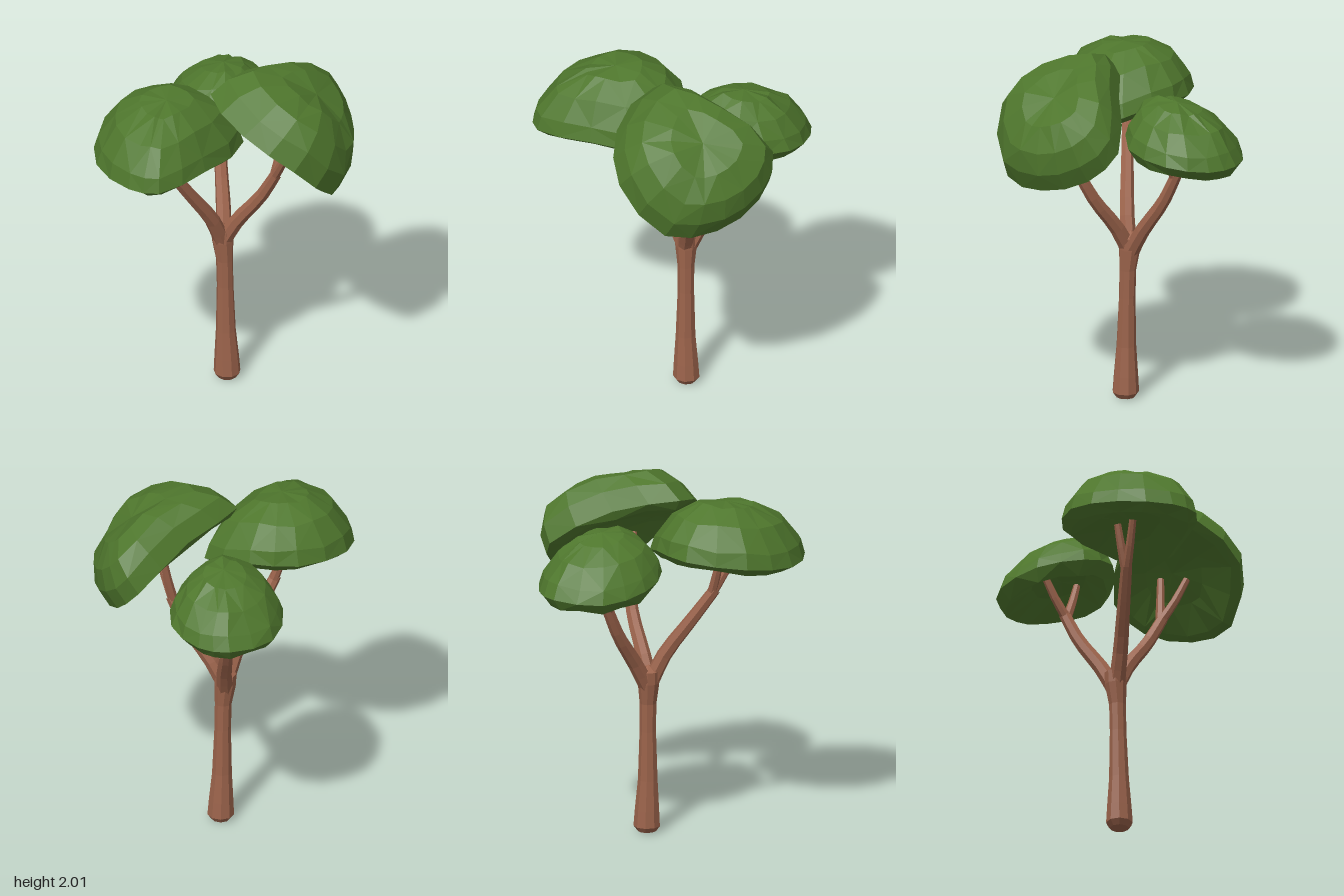
import * as THREE from 'three';

const V = (p) => new THREE.Vector3(...p);

function seeded(seed) {
  return () => {
    seed = (seed * 16807) % 2147483647;
    return seed / 2147483647 - 0.5;
  };
}

// Skin over a stack of rings (bottom to top, counter-clockwise from above), closed by two end points
function loft(rings, bottom, top) {
  const n = rings[0].length;
  const pos = [];
  const tri = (...pts) => pts.forEach((p) => pos.push(p.x, p.y, p.z));
  const last = rings[rings.length - 1];
  for (let i = 0; i < n; i++) {
    const j = (i + 1) % n;
    tri(bottom, rings[0][j], rings[0][i]);
    for (let k = 0; k + 1 < rings.length; k++) {
      const a = rings[k], b = rings[k + 1];
      if ((i + k) % 2) {
        tri(a[i], a[j], b[j]);
        tri(a[i], b[j], b[i]);
      } else {
        tri(a[i], a[j], b[i]);
        tri(a[j], b[j], b[i]);
      }
    }
    tri(last[i], last[j], top);
  }
  const g = new THREE.BufferGeometry();
  g.setAttribute('position', new THREE.Float32BufferAttribute(pos, 3));
  g.computeVertexNormals();
  return g;
}

// Tapered branch along a curve
function branchGeometry(points, r0, r1, segments) {
  const curve = new THREE.CatmullRomCurve3(points.map(V));
  const sides = 7;
  const g = new THREE.TubeGeometry(curve, segments, 1, sides, false);
  const p = g.attributes.position;
  const v = new THREE.Vector3();
  for (let i = 0; i < p.count; i++) {
    const t = Math.floor(i / (sides + 1)) / segments;
    const c = curve.getPointAt(t);
    v.fromBufferAttribute(p, i).sub(c).multiplyScalar(r0 + (r1 - r0) * t).add(c);
    p.setXYZ(i, v.x, v.y, v.z);
  }
  g.computeVertexNormals();
  return g;
}

// Leaf cushion: domed above its curved rim, rolled under and hollow below
function canopyGeometry({ rim, center, axis, height, lip, profile, seed }) {
  const rnd = seeded(seed);
  const c = V(center), n = V(axis).normalize();
  const edge = new THREE.CatmullRomCurve3(rim.map(V), true).getPoints(rim.length * 2).slice(0, -1);
  const ring = (scale, lift, jitter) => edge.map((p) =>
    p.clone().sub(c).multiplyScalar(scale).add(c)
      .addScaledVector(n, lift)
      .add(new THREE.Vector3(rnd(), rnd(), rnd()).multiplyScalar(jitter)));
  const rings = [
    ring(0.45, 0.02, 0.02),
    ring(0.86, -lip, 0.02),
    ring(1, 0, 0),
    ...profile.map(([scale, lift]) => ring(scale, lift * height, 0.015)),
  ];
  return loft(rings, c.clone().addScaledVector(n, 0.03), c.clone().addScaledVector(n, height));
}

// Profile: [share of the rim, share of the height] for each ring of the dome
const LEFT_CANOPY = {
  center: [-0.32, 1.62, 0.25], axis: [0, 1, 0], height: 0.295, lip: 0.045, seed: 11,
  profile: [[0.94, 0.28], [0.72, 0.7], [0.36, 0.97]],
  rim: [[-0.725, 1.59, 0.32], [-0.6, 1.58, 0.6], [-0.45, 1.58, 0.68], [-0.16, 1.6, 0.53],
    [0.12, 1.57, 0.2], [-0.08, 1.66, -0.06], [-0.34, 1.66, -0.14], [-0.64, 1.63, 0.02]],
};
const RIGHT_CANOPY = {
  center: [0.33, 1.61, 0.24], axis: [0.62, 0.78, 0], height: 0.305, lip: 0.02, seed: 23,
  profile: [[0.95, 0.4], [0.78, 0.76], [0.46, 0.98]],
  rim: [[-0.06, 1.88, 0.18], [0.06, 1.78, 0.5], [0.31, 1.61, 0.65], [0.55, 1.36, 0.51],
    [0.66, 1.355, 0.24], [0.65, 1.45, -0.04], [0.56, 1.61, -0.18], [0.25, 1.81, -0.02]],
};
const BACK_CANOPY = {
  center: [0.11, 1.54, -0.32], axis: [0, 1, 0.06], height: 0.25, lip: 0.07, seed: 37,
  profile: [[0.92, 0.28], [0.7, 0.66], [0.38, 0.93]],
  rim: [[-0.215, 1.52, -0.34], [-0.14, 1.56, -0.09], [0.06, 1.6, 0], [0.33, 1.55, -0.12],
    [0.42, 1.52, -0.4], [0.31, 1.49, -0.61], [0.15, 1.49, -0.69], [-0.11, 1.48, -0.59]],
};

// Each limb: main stem, then two twigs from its end
const LIMBS = [
  {
    name: 'leftBranch',
    stem: [[0.04, 0.84, 0.03], [-0.03, 1.02, 0.08], [-0.165, 1.23, 0.15], [-0.28, 1.41, 0.21]],
    twigs: [[-0.37, 1.64, 0.28], [-0.34, 1.64, 0.18]],
  },
  {
    name: 'rightBranch',
    stem: [[0.03, 0.84, 0.03], [0.11, 1.0, 0.07], [0.23, 1.18, 0.14], [0.305, 1.35, 0.2]],
    twigs: [[0.36, 1.59, 0.32], [0.355, 1.61, 0.17]],
  },
  {
    name: 'backBranch',
    stem: [[0.04, 0.84, 0.02], [0.06, 0.98, -0.06], [0.075, 1.18, -0.2], [0.085, 1.36, -0.29]],
    twigs: [[0.0, 1.56, -0.37], [0.17, 1.56, -0.25]],
  },
];

export function createModel() {
  const group = new THREE.Group();
  const bark = new THREE.MeshStandardMaterial({ color: 0x9b634b, flatShading: true });
  bark.name = 'bark';
  const leaves = new THREE.MeshStandardMaterial({ color: 0x4f772d, flatShading: true });
  leaves.name = 'leaves';
  const add = (name, geometry, material) => {
    const mesh = new THREE.Mesh(geometry, material);
    mesh.name = name;
    group.add(mesh);
  };

  // Trunk, flared at the foot and at the fork: [x, y, z, radius]
  const trunk = [
    [0.06, 0.005, 0.04, 0.052], [0.06, 0.035, 0.04, 0.074], [0.058, 0.13, 0.04, 0.068],
    [0.053, 0.3, 0.04, 0.055], [0.05, 0.58, 0.036, 0.046], [0.047, 0.74, 0.034, 0.047],
    [0.038, 0.86, 0.027, 0.06], [0.035, 0.93, 0.025, 0.06],
  ].map(([x, y, z, r]) => Array.from({ length: 9 }, (_, i) => {
    const a = -(i / 9) * Math.PI * 2;
    return new THREE.Vector3(x + r * Math.cos(a), y, z + r * Math.sin(a));
  }));
  add('trunk', loft(trunk, V([0.06, 0, 0.04]), V([0.035, 0.965, 0.02])), bark);

  // Branches and twigs
  for (const { name, stem, twigs } of LIMBS) {
    add(name, branchGeometry(stem, 0.047, 0.032, 7), bark);
    const end = stem[stem.length - 1], before = stem[stem.length - 2];
    const root = end.map((e, i) => e + (before[i] - e) * 0.15);
    twigs.forEach((tip, k) => {
      const mid = root.map((s, i) => s + (tip[i] - s) * (i === 1 ? 0.48 : 0.54));
      add(`${name}Twig${k + 1}`, branchGeometry([root, mid, tip], 0.028, 0.02, 4), bark);
    });
  }

  // Leaf canopies
  add('leftCanopy', canopyGeometry(LEFT_CANOPY), leaves);
  add('rightCanopy', canopyGeometry(RIGHT_CANOPY), leaves);
  add('backCanopy', canopyGeometry(BACK_CANOPY), leaves);

  return group;
}
